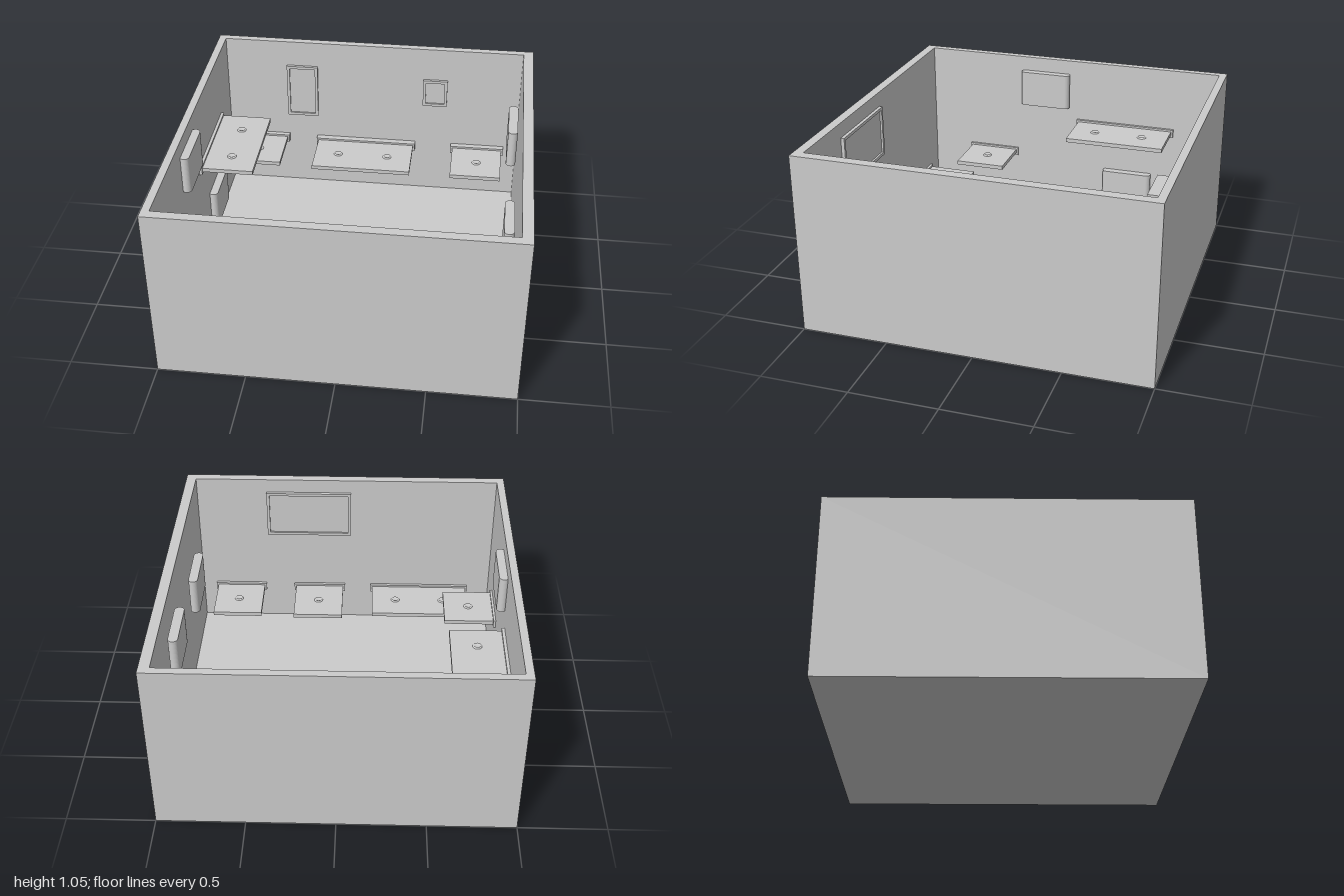
import * as THREE from 'three';

const material = new THREE.MeshStandardMaterial({ color: 0xcccccc });

// Inner faces of the walls
const IN = { x0: -0.955, x1: 0.94, z0: -0.955, z1: 0.945 };
const HEIGHT = 1.055;

function add(parent, name, geometry) {
  const mesh = new THREE.Mesh(geometry, material);
  mesh.name = name;
  parent.add(mesh);
  return mesh;
}

// Box given by its limits on each axis
function box(parent, name, x0, x1, y0, y1, z0, z1) {
  const mesh = add(parent, name, new THREE.BoxGeometry(x1 - x0, y1 - y0, z1 - z0));
  mesh.position.set((x0 + x1) / 2, (y0 + y1) / 2, (z0 + z1) / 2);
  return mesh;
}

function rectangle(Type, x0, x1, y0, y1) {
  return new Type([[x0, y0], [x1, y0], [x1, y1], [x0, y1]].map(([x, y]) => new THREE.Vector2(x, y)));
}

// Group on a wall: local x runs along the wall, local z points into the room
function onWall(root, name, wall) {
  const group = new THREE.Group();
  group.name = name;
  if (wall === 'back') group.position.z = IN.z0;
  if (wall === 'front') { group.position.z = IN.z1; group.rotation.y = Math.PI; }
  if (wall === 'right') { group.position.x = IN.x0; group.rotation.y = Math.PI / 2; }
  if (wall === 'left') { group.position.x = IN.x1; group.rotation.y = -Math.PI / 2; }
  root.add(group);
  return group;
}

// World coordinate along a wall to local x
const along = (wall, v) => (wall === 'back' || wall === 'left' ? v : -v);

function span(wall, a, b) {
  return [along(wall, a), along(wall, b)].sort((p, q) => p - q);
}

// Shelf plate with a wall rail and small dished buttons on top
function addShelf(root, { wall, from, to, depth, top, rail, buttons, out }) {
  const group = onWall(root, 'shelf', wall);
  const [a, b] = span(wall, from, to);
  box(group, 'shelfPlate', a, b, top - 0.025, top, 0, depth);
  box(group, 'wallRail', a - 0.012, b + 0.012, top - 0.04, top + 0.012, 0, rail);
  const profile = [[0, 0.002], [0.017, 0.002], [0.021, 0.009], [0.028, 0]]
    .map(([r, y]) => new THREE.Vector2(r, y)).reverse();
  for (const v of buttons) {
    add(group, 'button', new THREE.LatheGeometry(profile, 24)).position.set(along(wall, v), top, out);
  }
}

// Upright slab with rounded ends
function addSlab(root, x, z0, z1, y0, y1) {
  const r = 0.028;
  const half = (z1 - z0) / 2 - r;
  const shape = new THREE.Shape();
  shape.absarc(0, half, r, 0, Math.PI);
  shape.absarc(0, -half, r, Math.PI, Math.PI * 2);
  shape.closePath();
  const geometry = new THREE.ExtrudeGeometry(shape, { depth: y1 - y0, bevelEnabled: false, curveSegments: 16 });
  geometry.rotateX(-Math.PI / 2);
  add(root, 'roundedSlab', geometry).position.set(x, y0, (z0 + z1) / 2);
}

// Picture frame with a recessed panel
function addFrame(root, wall, from, to, y0, y1, depth) {
  const group = onWall(root, 'wallFrame', wall);
  const [a, b] = span(wall, from, to);
  const rim = 0.018;
  const shape = rectangle(THREE.Shape, a, b, y0, y1);
  shape.holes.push(rectangle(THREE.Path, a + rim, b - rim, y0 + rim, y1 - rim));
  add(group, 'frameRim', new THREE.ExtrudeGeometry(shape, { depth, bevelEnabled: false }));
  box(group, 'framePanel', a + rim, b - rim, y0 + rim, y1 - rim, 0, depth * 0.4);
}

export function createModel() {
  const root = new THREE.Group();
  root.name = 'openRoom';

  // Walls and floor
  const plan = rectangle(THREE.Shape, -1, 1, -1, 1);
  plan.holes.push(rectangle(THREE.Path, IN.x0, IN.x1, -IN.z1, -IN.z0));
  const walls = new THREE.ExtrudeGeometry(plan, { depth: HEIGHT, bevelEnabled: false });
  walls.rotateX(-Math.PI / 2);
  add(root, 'walls', walls);
  box(root, 'floor', IN.x0, IN.x1, 0, 0.01, IN.z0, IN.z1);

  // Shelves
  const shelves = [
    { wall: 'back', from: -0.895, to: -0.573, depth: 0.345, top: 0.36, rail: 0.03, buttons: [-0.735], out: 0.19 },
    { wall: 'back', from: -0.363, to: 0.267, depth: 0.355, top: 0.357, rail: 0.04, buttons: [-0.21, 0.11], out: 0.195 },
    { wall: 'back', from: 0.527, to: 0.847, depth: 0.355, top: 0.357, rail: 0.037, buttons: [0.69], out: 0.195 },
    { wall: 'right', from: -0.675, to: -0.06, depth: 0.322, top: 0.65, rail: 0.018, buttons: [-0.515, -0.21], out: 0.168 },
    { wall: 'right', from: 0.37, to: 0.68, depth: 0.317, top: 0.4, rail: 0.014, buttons: [0.525], out: 0.163 },
    { wall: 'front', from: -0.803, to: -0.185, depth: 0.317, top: 0.26, rail: 0.018, buttons: [-0.645, -0.337], out: 0.165 },
    { wall: 'front', from: 0.01, to: 0.322, depth: 0.345, top: 0.26, rail: 0.018, buttons: [0.167], out: 0.18 },
    { wall: 'front', from: 0.533, to: 0.843, depth: 0.335, top: 0.26, rail: 0.018, buttons: [0.69], out: 0.175 },
  ];
  shelves.forEach((shelf) => addShelf(root, shelf));

  // Rounded slabs beside the side walls
  addSlab(root, -0.934, 0.003, 0.325, 0.74, 0.965);
  addSlab(root, -0.934, -0.555, -0.235, 0.11, 0.335);
  addSlab(root, 0.893, 0.22, 0.54, 0.54, 0.765);
  addSlab(root, 0.893, -0.56, -0.24, 0.69, 0.915);

  // Framed panels
  addFrame(root, 'back', -0.565, -0.365, 0.527, 0.888, 0.018);
  addFrame(root, 'back', 0.32, 0.475, 0.655, 0.84, 0.018);
  addFrame(root, 'front', -0.04, 0.498, 0.66, 0.967, 0.02);

  return root;
}
